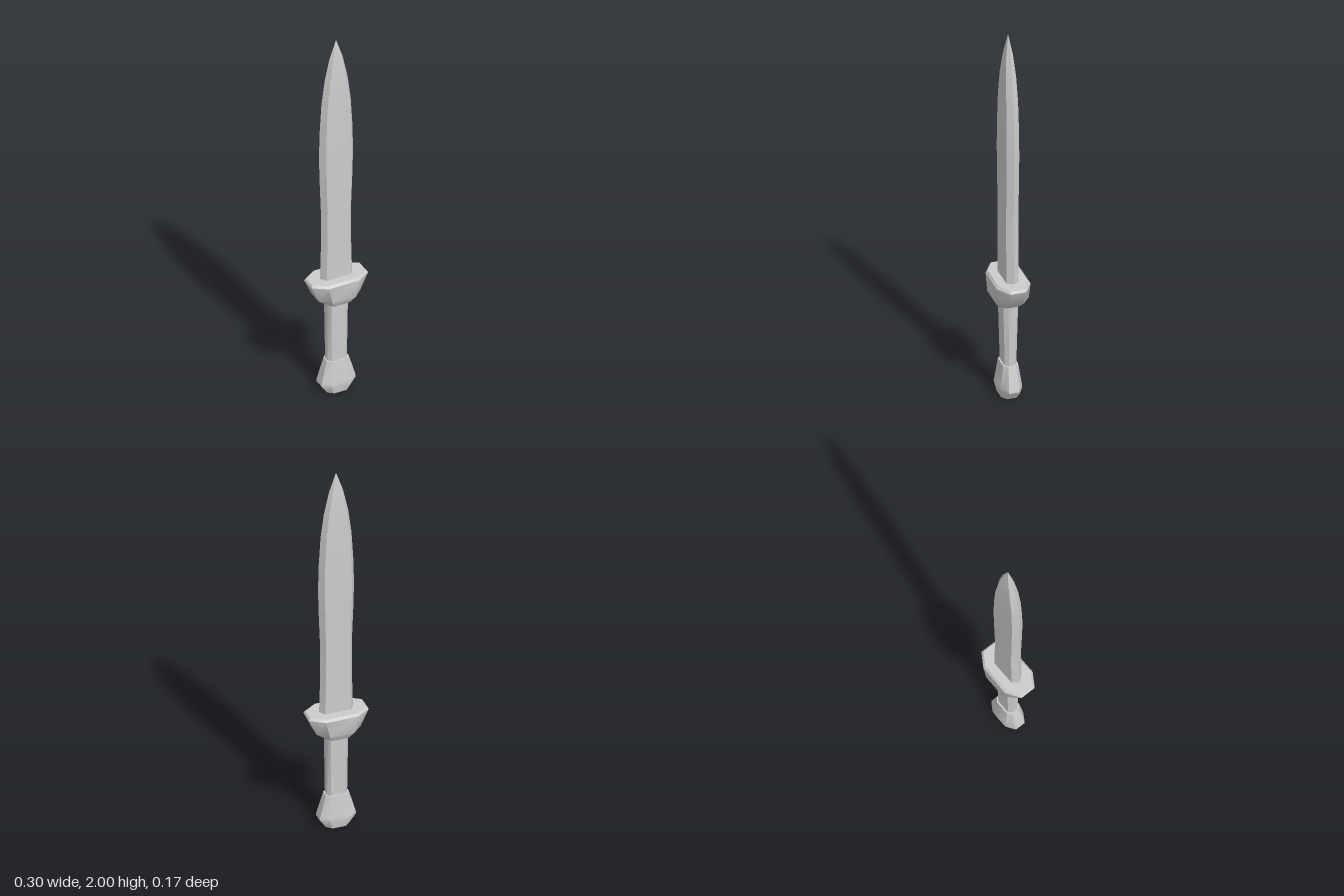
import * as THREE from 'three';
import { toCreasedNormals } from 'three/addons/utils/BufferGeometryUtils.js';

const material = new THREE.MeshStandardMaterial({ color: 0xcccccc });

// Six-sided section: sharp edge at +-w, flat faces of half width f at +-t
const hexagon = (w, f, t) => [[w, 0], [f, t], [-f, t], [-w, 0], [-f, -t], [f, -t]];

// Eight-sided section: half sizes w and t, with flats of half length f and s
const octagon = (w, f, t, s) => [
  [w, s], [f, t], [-f, t], [-w, s], [-w, -s], [-f, -t], [f, -t], [w, -s],
];

// Skin a stack of [y, ring] sections from bottom to top and close both ends
function loft(name, sections, crease) {
  const rings = sections.map(([y, ring]) => ring.map(([x, z]) => [x, y, z]));
  const n = rings[0].length;
  const positions = [];
  const tri = (...points) => points.forEach((p) => positions.push(...p));
  for (let k = 0; k < rings.length - 1; k++) {
    for (let i = 0; i < n; i++) {
      const j = (i + 1) % n;
      tri(rings[k][i], rings[k + 1][i], rings[k][j]);
      tri(rings[k][j], rings[k + 1][i], rings[k + 1][j]);
    }
  }
  const low = rings[0];
  const high = rings[rings.length - 1];
  for (let i = 1; i < n - 1; i++) {
    tri(low[0], low[i], low[i + 1]);
    tri(high[0], high[i + 1], high[i]);
  }
  const geometry = new THREE.BufferGeometry();
  geometry.setAttribute('position', new THREE.Float32BufferAttribute(positions, 3));
  const mesh = new THREE.Mesh(toCreasedNormals(geometry, crease), material);
  mesh.name = name;
  return mesh;
}

export function createModel() {
  const sword = new THREE.Group();
  sword.name = 'sword';

  // Leaf-shaped blade: y, half width, half width of the flat, half thickness
  const blade = [
    [0.63, 0.087, 0.066, 0.031],
    [0.85, 0.081, 0.062, 0.031],
    [1.02, 0.081, 0.062, 0.031],
    [1.2, 0.088, 0.066, 0.032],
    [1.35, 0.092, 0.069, 0.033],
    [1.5, 0.088, 0.067, 0.032],
    [1.65, 0.079, 0.06, 0.03],
    [1.78, 0.062, 0.045, 0.026],
    [1.9, 0.036, 0.023, 0.017],
    [2.0, 0.002, 0.001, 0.001],
  ].map(([y, ...size]) => [y, hexagon(...size)]);
  sword.add(loft('blade', blade, 0.6));

  // Flared guard with a chamfered top rim
  const guard = [
    [0.515, octagon(0.07, 0.042, 0.064, 0.03)],
    [0.55, octagon(0.112, 0.062, 0.084, 0.038)],
    [0.64, octagon(0.152, 0.082, 0.085, 0.04)],
    [0.652, octagon(0.144, 0.08, 0.075, 0.034)],
  ];
  sword.add(loft('guard', guard, 0.7));

  // Grip, slightly thicker towards the guard
  const grip = [
    [0.16, octagon(0.052, 0.036, 0.029, 0.013)],
    [0.53, octagon(0.056, 0.04, 0.038, 0.017)],
  ];
  sword.add(loft('grip', grip, 0.7));

  // Tapered pommel
  const pommel = [
    [0, octagon(0.06, 0.034, 0.046, 0.022)],
    [0.048, octagon(0.093, 0.05, 0.055, 0.027)],
    [0.065, octagon(0.09, 0.049, 0.053, 0.026)],
    [0.177, octagon(0.059, 0.038, 0.038, 0.018)],
  ];
  sword.add(loft('pommel', pommel, 0.7));

  return sword;
}
